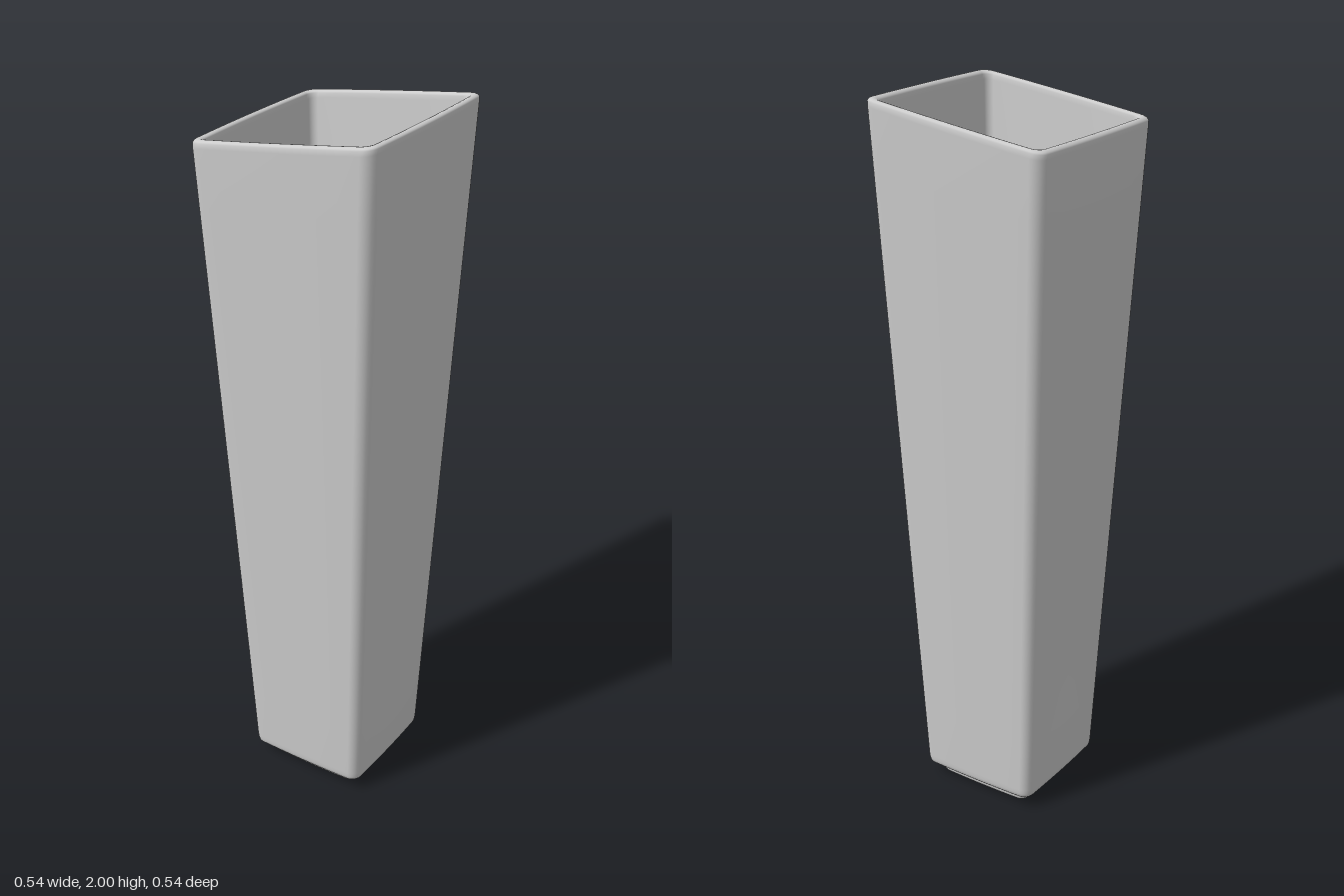
import * as THREE from 'three';

const TOP = 1.955;    // rim height on the centre line
const SLOPE = 0.14;   // the rim rises towards +x
const ARC = 6, SIDE = 8;

// One rounded-square ring with slightly bowed sides; the slant fades out towards the base
function ring(half, y, radius) {
  const r = Math.min(radius, half * 0.9), c = half - r, flat = [];
  for (let k = 0; k < 4; k++) {
    const turn = k * Math.PI / 2;
    const add = (x, z) => flat.push([
      x * Math.cos(turn) - z * Math.sin(turn),
      x * Math.sin(turn) + z * Math.cos(turn)]);
    for (let i = 1; i < SIDE; i++) add(half, -c + 2 * c * i / SIDE);
    for (let i = 0; i <= ARC; i++) {
      const a = i / ARC * Math.PI / 2;
      add(c + r * Math.cos(a), c + r * Math.sin(a));
    }
  }
  const slant = SLOPE * THREE.MathUtils.clamp((y - 0.12) / (TOP - 0.14), 0, 1);
  const bow = (v) => half > 0 ? 1 - 0.022 * (v / half) ** 2 : 1;
  return flat.map(([x, z]) => [x * bow(z), y + slant * x, z * bow(x)]);
}

// Skin a list of [half width, height, corner radius] sections
function loft(sections) {
  const rings = sections.map((s) => ring(...s));
  const n = rings[0].length, index = [];
  for (let i = 0; i < rings.length - 1; i++) {
    for (let j = 0; j < n; j++) {
      const a = i * n + j, b = i * n + (j + 1) % n;
      index.push(a, a + n, b, b, a + n, b + n);
    }
  }
  const geometry = new THREE.BufferGeometry();
  geometry.setAttribute('position', new THREE.Float32BufferAttribute(rings.flat(2), 3));
  geometry.setIndex(index);
  geometry.computeVertexNormals();
  return geometry;
}

// Straight tapered wall between two sections
function wall(from, to, steps) {
  return Array.from({ length: steps + 1 }, (_, i) =>
    from.map((v, k) => THREE.MathUtils.lerp(v, to[k], i / steps)));
}

export function createModel() {
  const group = new THREE.Group();
  group.name = 'vase';
  const ceramic = new THREE.MeshStandardMaterial({ color: 0xcccccc });
  ceramic.name = 'grey ceramic';

  // Half-round lip joining the outer and inner walls
  const lip = [];
  for (let i = 1; i < 8; i++) {
    const a = i / 8 * Math.PI;
    lip.push([0.257 + 0.013 * Math.cos(a), TOP - 0.004 + 0.012 * Math.sin(a), 0.032 - 0.012 * i / 8]);
  }

  // Body: underside, outer wall, lip, inner wall and floor
  const body = new THREE.Mesh(loft([
    [0, 0.034, 0], [0.14, 0.034, 0.02], [0.168, 0.034, 0.025],
    [0.176, 0.036, 0.026], [0.182, 0.042, 0.027], [0.184, 0.052, 0.028],
    ...wall([0.185, 0.065, 0.028], [0.27, TOP - 0.012, 0.034], 12),
    ...lip,
    ...wall([0.244, TOP - 0.012, 0.02], [0.164, 0.105, 0.018], 12),
    [0.162, 0.09, 0.018], [0.158, 0.08, 0.018], [0.15, 0.075, 0.018],
    [0.14, 0.074, 0.018], [0, 0.074, 0],
  ]), ceramic);
  body.name = 'body';

  // Foot: low square ring with a recessed underside
  const foot = new THREE.Mesh(loft([
    [0, 0.018, 0], [0.112, 0.018, 0.012], [0.118, 0.016, 0.014],
    [0.121, 0.006, 0.015], [0.126, 0.001, 0.016], [0.131, 0, 0.018],
    [0.14, 0, 0.02], [0.146, 0.002, 0.022], [0.149, 0.007, 0.022],
    [0.15, 0.014, 0.022], [0.151, 0.028, 0.022], [0.154, 0.036, 0.022],
  ]), ceramic);
  foot.name = 'foot';

  group.add(body, foot);
  return group;
}
